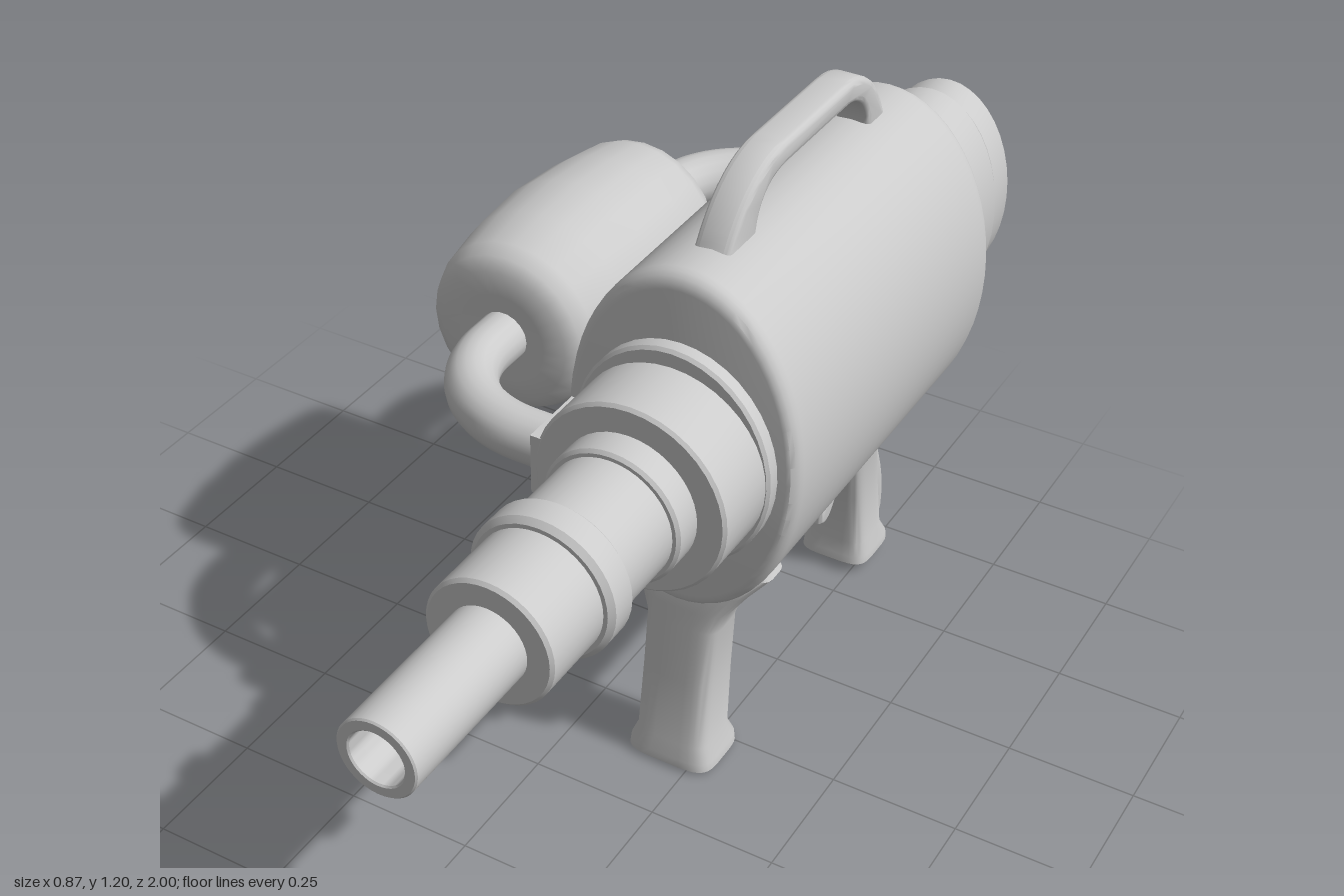
import * as THREE from 'three';
import { toCreasedNormals } from 'three/addons/utils/BufferGeometryUtils.js';

const CX = 0.205, CY = 0.73; // main axis, running along z

export function createModel() {
  const model = new THREE.Group();
  const material = new THREE.MeshStandardMaterial({ color: 0xcccccc });

  const add = (name, geometry, x = 0, y = 0, z = 0, crease = 0.5) => {
    const mesh = new THREE.Mesh(toCreasedNormals(geometry, crease), material);
    mesh.name = name;
    mesh.position.set(x, y, z);
    model.add(mesh);
    return mesh;
  };

  // Turned part along z; points are [radius, z] from back to front
  const turned = (name, points, { x = CX, squash = 1, sides = 40, crease = 0.5 } = {}) => {
    const g = new THREE.LatheGeometry(points.map(([r, z]) => new THREE.Vector2(r, z)), sides);
    g.rotateX(Math.PI / 2).scale(squash, 1, 1);
    return add(name, g, x, CY, 0, crease);
  };

  // Closed drum with small chamfered rims
  const drum = (name, r, z0, z1, squash = 1, b = 0.006) =>
    turned(name, [[0, z0], [r - b, z0], [r, z0 + b], [r, z1 - b], [r - b, z1], [0, z1]], { squash });

  // Upright loft of rounded rectangles; sections are [y, z, halfX, halfZ]
  const loft = (name, sections, x) => {
    const n = 32, pos = [], idx = [];
    const round = (v) => Math.sign(v) * Math.pow(Math.abs(v), 0.45);
    for (const [y, z, hx, hz] of sections) {
      for (let j = 0; j < n; j++) {
        const a = ((j + 0.5) / n) * Math.PI * 2;
        pos.push(hx * round(Math.cos(a)), y, z - hz * round(Math.sin(a)));
      }
    }
    const last = (sections.length - 1) * n, bottom = pos.length / 3;
    pos.push(0, sections[0][0], sections[0][1]);
    pos.push(0, sections.at(-1)[0], sections.at(-1)[1]);
    for (let j = 0; j < n; j++) {
      const k = (j + 1) % n;
      for (let i = 0; i < last; i += n) {
        idx.push(i + j, i + k, i + n + k, i + j, i + n + k, i + n + j);
      }
      idx.push(bottom, k, j, bottom + 1, last + j, last + k);
    }
    const g = new THREE.BufferGeometry();
    g.setAttribute('position', new THREE.Float32BufferAttribute(pos, 3));
    g.setIndex(idx);
    return add(name, g, x, 0, 0, 0.7);
  };

  // Side profile drawn as (-z, y), given thickness across x with soft edges
  const sideProfile = (name, shape, width, bevel) => {
    const g = new THREE.ExtrudeGeometry(shape, {
      depth: width - 2 * bevel, bevelEnabled: true, bevelThickness: bevel,
      bevelSize: bevel, bevelOffset: -bevel, bevelSegments: 3, curveSegments: 10,
    });
    g.translate(0, 0, -(width - 2 * bevel) / 2).rotateY(Math.PI / 2);
    return add(name, g, CX, 0, 0, 0.7);
  };

  // Oval main body with rounded ends
  const rim = [0, 0.25, 0.5, 0.75, 1].map((t) => [
    0.32 + 0.03 * Math.sin(t * Math.PI / 2), 0.03 * Math.cos(t * Math.PI / 2)]);
  turned('body', [
    [0, -0.71], ...rim.map(([r, d]) => [r, -0.68 - d]),
    ...rim.slice().reverse().map(([r, d]) => [r, 0.07 + d]), [0, 0.1],
  ], { squash: 0.655, sides: 56 });

  // Rear stack
  drum('rearCollar', 0.27, -0.74, -0.70, 0.68);
  drum('rearHousing', 0.245, -0.905, -0.73, 0.64);
  drum('rearGroove', 0.215, -0.92, -0.89, 0.64);
  drum('rearCap', 0.225, -1.0, -0.912, 0.645, 0.012);

  // Front stack and barrel
  drum('frontCollar', 0.22, 0.09, 0.13, 0.88);
  drum('frontHousing', 0.187, 0.12, 0.27);
  drum('barrelCollar', 0.133, 0.26, 0.33);
  drum('barrel', 0.12, 0.32, 0.70);
  drum('barrelBand', 0.138, 0.48, 0.55, 1, 0.01);
  turned('nozzle', [[0.073, 0.69], [0.073, 0.997], [0.07, 1], [0.053, 1], [0.05, 0.997],
    [0.05, 0.75], [0, 0.75]]);

  // Side tank
  const TX = -0.245;
  turned('tank', [
    [0, -0.56], [0.09, -0.57], [0.14, -0.568], [0.16, -0.555], [0.17, -0.53], [0.185, -0.43],
    [0.195, -0.3], [0.188, -0.18], [0.173, -0.085], [0.16, -0.055], [0.135, -0.038],
    [0.09, -0.035], [0, -0.05],
  ], { x: TX, sides: 24, crease: 0.9 });

  // Bent pipes joining the tank to each end, with square mounting flanges
  for (const [end, zPipe, zTank, xEnd, r] of [
    ['front', 0.2, -0.06, 0.04, 0.05], ['rear', -0.825, -0.55, 0.08, 0.053]]) {
    const path = new THREE.CurvePath();
    const v = (x, z) => new THREE.Vector3(x, CY, z);
    const bend = zPipe + Math.sign(zTank - zPipe) * 0.19;
    path.add(new THREE.LineCurve3(v(xEnd, zPipe), v(-0.04, zPipe)));
    path.add(new THREE.CubicBezierCurve3(v(-0.04, zPipe), v(-0.17, zPipe),
      v(TX, (zPipe + bend) / 2), v(TX, bend)));
    path.add(new THREE.LineCurve3(v(TX, bend), v(TX, zTank)));
    add(end + 'Pipe', new THREE.TubeGeometry(path, 32, r, 18));
    add(end + 'Flange', new THREE.BoxGeometry(0.1, 0.12, 0.135), xEnd + 0.02, CY, zPipe);
  }

  // Carrying handle
  const handle = new THREE.Shape();
  handle.moveTo(-0.01, 1.06);
  handle.bezierCurveTo(0.03, 1.14, 0.1, 1.2, 0.2, 1.2);
  handle.lineTo(0.43, 1.2);
  handle.bezierCurveTo(0.52, 1.2, 0.57, 1.15, 0.605, 1.06);
  handle.lineTo(0.53, 1.06);
  handle.bezierCurveTo(0.53, 1.12, 0.49, 1.155, 0.43, 1.155);
  handle.lineTo(0.2, 1.155);
  handle.bezierCurveTo(0.14, 1.155, 0.1, 1.12, 0.1, 1.06);
  handle.closePath();
  sideProfile('carryingHandle', handle, 0.07, 0.012);

  // Front leg, flaring into the body and at the foot
  loft('frontLeg', [
    [0.005, 0.055, 0.08, 0.066], [0.012, 0.055, 0.09, 0.074], [0.03, 0.055, 0.088, 0.073],
    [0.06, 0.056, 0.076, 0.062], [0.2, 0.044, 0.074, 0.058], [0.32, 0.033, 0.075, 0.054],
    [0.36, 0.03, 0.088, 0.053], [0.41, 0.025, 0.122, 0.052], [0.46, 0.018, 0.163, 0.046],
    [0.475, 0.016, 0.155, 0.04],
  ], CX);

  // Rear grip, leaning back
  loft('rearGrip', [
    [0.02, -0.64, 0.066, 0.064], [0.028, -0.64, 0.075, 0.072], [0.045, -0.64, 0.074, 0.07],
    [0.075, -0.635, 0.064, 0.058], [0.2, -0.615, 0.06, 0.057], [0.3, -0.59, 0.062, 0.062],
    [0.36, -0.57, 0.075, 0.08], [0.42, -0.56, 0.1, 0.1],
  ], CX);

  // Padded back of the grip
  const pad = new THREE.Shape();
  pad.moveTo(0.62, 0.41);
  pad.lineTo(0.68, 0.41);
  pad.bezierCurveTo(0.675, 0.36, 0.655, 0.34, 0.67, 0.29);
  pad.bezierCurveTo(0.685, 0.24, 0.725, 0.18, 0.72, 0.09);
  pad.quadraticCurveTo(0.715, 0.065, 0.69, 0.065);
  pad.lineTo(0.65, 0.08);
  pad.closePath();
  sideProfile('gripPad', pad, 0.09, 0.012);

  // Hooked trigger hanging below the body
  const trigger = new THREE.Shape();
  trigger.moveTo(0.38, 0.39);
  trigger.quadraticCurveTo(0.47, 0.36, 0.485, 0.32);
  trigger.bezierCurveTo(0.495, 0.27, 0.49, 0.24, 0.455, 0.235);
  trigger.lineTo(0.455, 0.2);
  trigger.bezierCurveTo(0.49, 0.17, 0.52, 0.22, 0.535, 0.26);
  trigger.lineTo(0.56, 0.31);
  trigger.lineTo(0.56, 0.39);
  trigger.closePath();
  sideProfile('trigger', trigger, 0.055, 0.008);

  return model;
}
